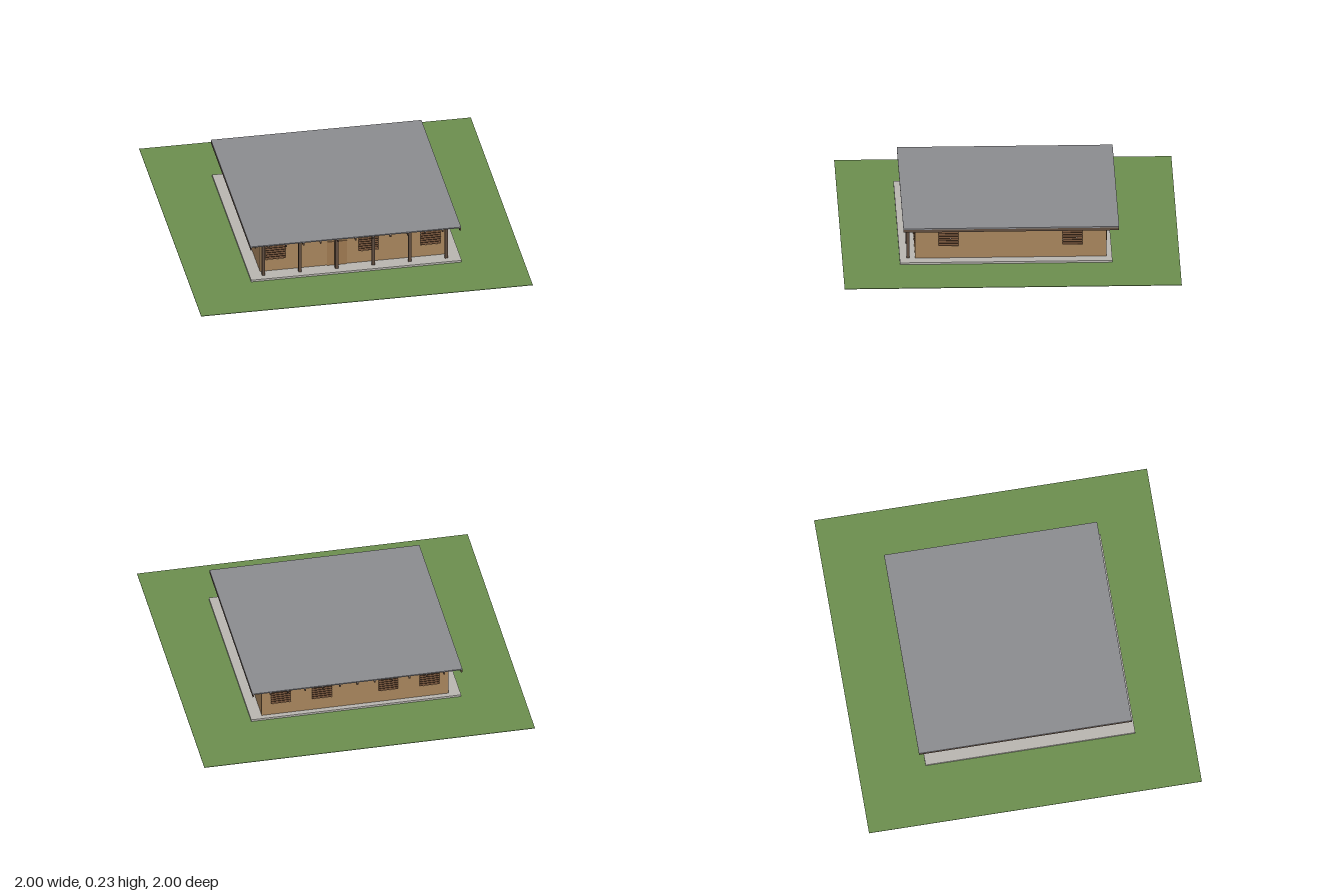
import * as THREE from 'three';

const mat = (name, color) => {
  const m = new THREE.MeshStandardMaterial({ color });
  m.name = name;
  return m;
};

export function createModel() {
  const grass = mat('grass green', 0x6b8e4e);
  const concrete = mat('concrete grey', 0xb8b5b0);
  const clay = mat('wall tan', 0xa5835c);
  const roofing = mat('roof grey', 0x8a8b8f);
  const timber = mat('dark timber', 0x5f4c3e);
  const slatWood = mat('louvre brown', 0x6b4c35);
  const doorWood = mat('door wood', 0x9c7850);

  const house = new THREE.Group();
  house.name = 'house';

  const box = (name, material, w, h, d, x, y, z, parent = house) => {
    const mesh = new THREE.Mesh(new THREE.BoxGeometry(w, h, d), material);
    mesh.name = name;
    mesh.position.set(x, y, z);
    parent.add(mesh);
    return mesh;
  };

  // Ground, floor slab and roof sheet
  box('ground', grass, 2, 0.003, 2, 0, 0.0015, 0);
  box('floorSlab', concrete, 1.27, 0.012, 1.26, 0, 0.009, 0.03);
  box('roof', roofing, 1.27, 0.007, 1.28, 0, 0.2285, 0);

  // Rafters under the roof
  for (let i = -6; i <= 6; i++) {
    box('rafter', timber, 0.009, 0.017, 1.278, i * 0.105, 0.2165, 0);
  }

  // Veranda posts
  for (let i = 0; i < 6; i++) {
    box('post', timber, 0.018, 0.21, 0.018, -0.552 + i * 0.2205, 0.12, 0.61);
  }

  // Walls with louvred window openings; the outer face lies on local z = 0
  const thick = 0.015, base = 0.015, top = 0.225;
  const winW = 0.12, winLow = 0.09, winHigh = 0.18, slats = 6;

  const addWall = (name, half, windows, distance, angle) => {
    const group = new THREE.Group();
    group.name = name;
    const outline = new THREE.Shape();
    outline.moveTo(-half, base).lineTo(half, base).lineTo(half, top).lineTo(-half, top).closePath();
    for (const c of windows) {
      const hole = new THREE.Path();
      hole.moveTo(c - winW / 2, winLow).lineTo(c - winW / 2, winHigh)
        .lineTo(c + winW / 2, winHigh).lineTo(c + winW / 2, winLow).closePath();
      outline.holes.push(hole);
      const pitch = (winHigh - winLow) / slats;
      for (let i = 0; i < slats; i++) {
        const slat = box('louvreSlat', slatWood, winW, 0.003, 0.018,
          c, winLow + (i + 0.5) * pitch, -thick / 2 + 0.003, group);
        slat.rotation.x = 0.3;
      }
    }
    const geometry = new THREE.ExtrudeGeometry(outline, { depth: thick, bevelEnabled: false });
    geometry.translate(0, 0, -thick);
    const panel = new THREE.Mesh(geometry, clay);
    panel.name = name + 'Panel';
    group.add(panel);
    group.rotation.y = angle;
    group.position.set(Math.sin(angle) * distance, 0, Math.cos(angle) * distance);
    house.add(group);
    return group;
  };

  const half = 0.565;
  const front = addWall('frontWall', half, [-0.47, 0.09, 0.465], half + 0.003, 0);
  addWall('backWall', half, [-0.45, -0.2, 0.2, 0.45], half + 0.003, Math.PI);
  addWall('leftWall', half - thick + 0.003, [-0.37, 0.365], half, Math.PI / 2);
  addWall('rightWall', half - thick + 0.003, [-0.365, 0.37], half, -Math.PI / 2);

  // Front door
  box('door', doorWood, 0.12, 0.16, 0.006, -0.1, 0.095, 0.002, front);

  return house;
}
